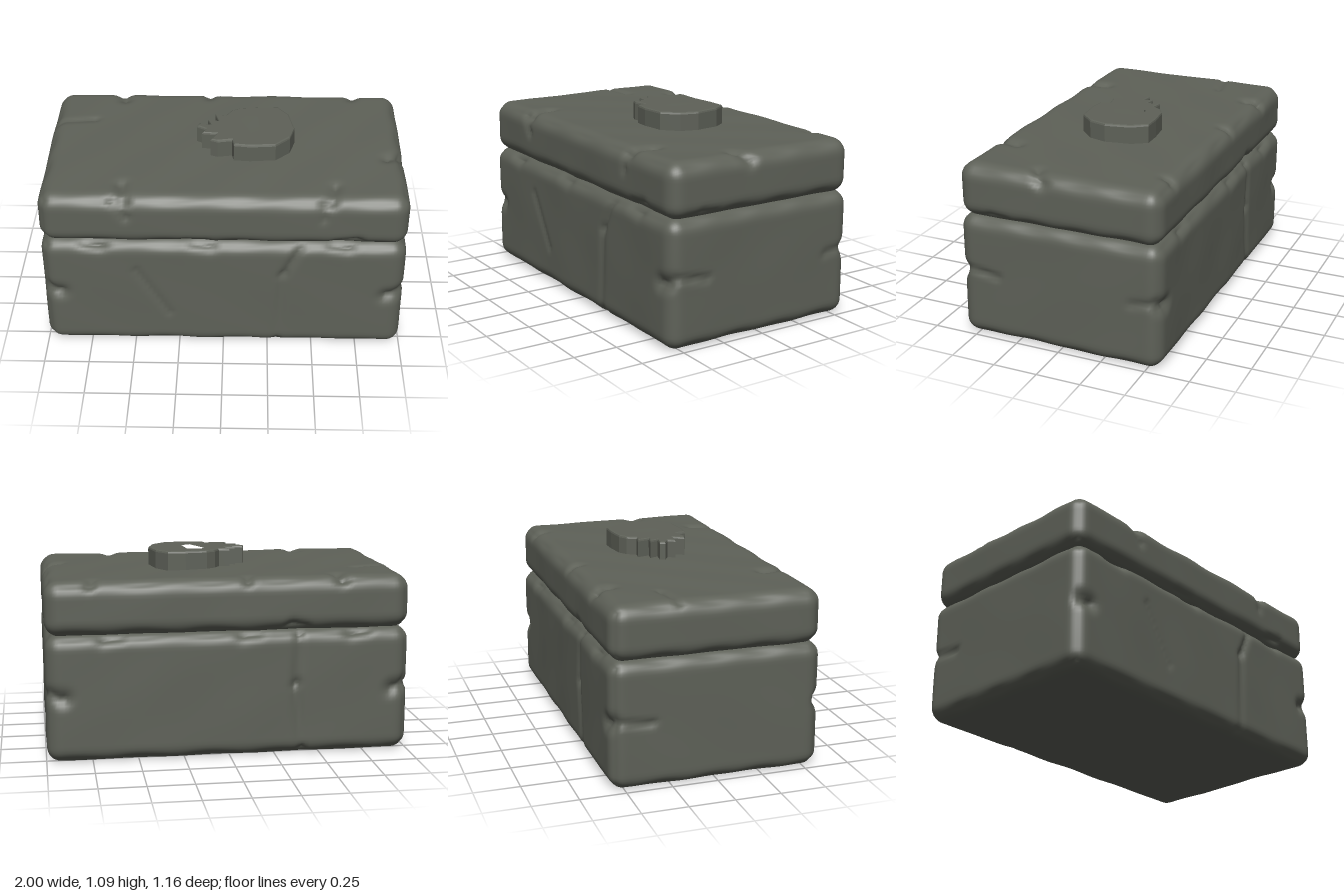
import * as THREE from 'three';
import { mergeVertices } from 'three/addons/utils/BufferGeometryUtils.js';

const stone = new THREE.MeshStandardMaterial({ color: 0x5e6158 });
stone.name = 'weathered grey stone';

// Rounded stone block worn by shallow waves and by cracks.
// Each crack: [start xyz, end xyz, width, depth]
function stoneBlock(name, half, yCentre, radius, cracks) {
  const step = 0.02;
  const seg = half.toArray().map((h) => Math.round((2 * h) / step));
  const geo = new THREE.BoxGeometry(2 * half.x, 2 * half.y, 2 * half.z, ...seg);
  geo.deleteAttribute('uv');
  geo.deleteAttribute('normal');
  const merged = mergeVertices(geo, 1e-4);
  const pos = merged.attributes.position;
  const core = half.clone().subScalar(radius);
  const low = core.clone().negate();
  const lines = cracks.map(([a, b, width, depth]) => ({
    line: new THREE.Line3(new THREE.Vector3(...a), new THREE.Vector3(...b)), width, depth,
  }));
  const p = new THREE.Vector3(), inner = new THREE.Vector3(), n = new THREE.Vector3(), near = new THREE.Vector3();
  for (let i = 0; i < pos.count; i++) {
    p.fromBufferAttribute(pos, i);
    inner.copy(p).clamp(low, core);
    n.copy(p).sub(inner).normalize();
    p.copy(inner).addScaledVector(n, radius);
    p.y += yCentre;
    // uneven, hand-hewn surface
    const wave = Math.sin(p.x * 7.3 + p.y * 5 + 1) * Math.sin(p.z * 6.1 + p.y * 9) + Math.sin(p.x * 13 + p.z * 11);
    const edge = 1 - Math.max(Math.abs(n.x), Math.abs(n.y), Math.abs(n.z));
    let sink = 0.0015 * (2 + wave) + edge * 0.012 * (1 + Math.sin(p.x * 17 + p.z * 23));
    for (const { line, width, depth } of lines) {
      line.closestPointToPoint(p, true, near);
      const t = 1 - near.distanceTo(p) / width;
      if (t > 0) sink += depth * t * t;
    }
    p.addScaledVector(n, -sink);
    pos.setXYZ(i, p.x, p.y, p.z);
  }
  merged.computeVertexNormals();
  const mesh = new THREE.Mesh(merged, stone);
  mesh.name = name;
  return mesh;
}

// Raised carved ring with a ragged side
function carvedRing() {
  const outline = [
    [0.03, -0.18], [0.08, -0.21], [0.2, -0.222], [0.3, -0.222], [0.36, -0.14], [0.388, 0], [0.36, 0.1], [0.28, 0.18],
    [0.14, 0.192], [0.05, 0.18], [0.04, 0.13], [-0.04, 0.145], [-0.08, 0.13], [-0.05, 0.07], [-0.13, 0.06],
    [-0.11, 0.02], [-0.16, -0.01], [-0.15, -0.04], [-0.08, -0.03], [-0.1, -0.08], [-0.04, -0.07],
    [-0.06, -0.14], [0, -0.13],
  ];
  const hole = [[0.07, -0.1], [0.09, -0.13], [0.19, -0.12], [0.205, 0.03], [0.14, 0.07], [0.11, 0.0]];
  const toPoints = (list) => list.map(([x, z]) => new THREE.Vector2(x, -z));
  const shape = new THREE.Shape(toPoints(outline));
  shape.holes.push(new THREE.Path(toPoints(hole)));
  const geo = new THREE.ExtrudeGeometry(shape, {
    depth: 0.12, bevelEnabled: true, bevelSize: 0.01, bevelOffset: -0.01, bevelThickness: 0.012, bevelSegments: 2,
  });
  geo.rotateX(-Math.PI / 2);
  geo.translate(0, 0.961, 0);
  const mesh = new THREE.Mesh(geo, stone);
  mesh.name = 'carvedRing';
  return mesh;
}

export function createModel() {
  const group = new THREE.Group();
  group.name = 'stoneChest';

  const bodyCracks = [
    // front face
    [[0.42, 0.68, 0.58], [0.33, 0.5, 0.58], 0.05, 0.022],
    [[0.33, 0.5, 0.58], [0.3, 0, 0.56], 0.05, 0.016],
    [[-0.48, 0.52, 0.58], [-0.3, 0.22, 0.58], 0.04, 0.012],
    // back face
    [[-0.38, 0.7, -0.56], [-0.36, 0.4, -0.58], 0.05, 0.022],
    [[-0.36, 0.4, -0.58], [-0.4, 0, -0.56], 0.05, 0.022],
    // ends
    [[1, 0.4, 0.55], [1, 0.37, 0.35], 0.04, 0.02],
    [[1, 0.37, -0.42], [1, 0.39, -0.55], 0.05, 0.015],
    [[-1, 0.38, -0.55], [-1, 0.36, -0.35], 0.04, 0.02],
  ];
  // chips on the upright corners
  for (const x of [-1, 1]) for (const z of [-0.58, 0.58]) {
    bodyCracks.push([[x, 0.38, z], [x * 0.9, 0.36, z], 0.08, 0.04]);
  }
  // chips along the upper rim
  for (const x of [-0.75, -0.15, 0.6]) for (const z of [-0.56, 0.56]) {
    bodyCracks.push([[x, 0.7, z], [x + 0.08, 0.68, z], 0.08, 0.025]);
  }
  group.add(stoneBlock('body', new THREE.Vector3(1, 0.352, 0.582), 0.352, 0.08, bodyCracks));

  const lidCracks = [
    // top face
    [[-1, 0.98, -0.2], [-0.75, 0.99, -0.24], 0.04, 0.018],
    [[1, 0.95, 0.08], [0.9, 0.99, 0.14], 0.07, 0.03],
    // front face
    [[-0.6, 0.97, 0.55], [-0.52, 0.87, 0.58], 0.05, 0.02],
    [[0.53, 0.97, 0.55], [0.54, 0.87, 0.58], 0.05, 0.015],
    // front and back upper edges
    [[-0.55, 0.99, 0.42], [-0.53, 0.96, 0.56], 0.07, 0.035],
    [[0.6, 0.99, 0.42], [0.57, 0.96, 0.56], 0.07, 0.03],
    [[-0.62, 0.97, -0.55], [-0.6, 0.99, -0.47], 0.07, 0.035],
    [[-0.1, 0.97, -0.55], [-0.1, 0.99, -0.5], 0.06, 0.025],
    [[0.75, 0.97, -0.55], [0.74, 0.99, -0.5], 0.06, 0.025],
    // lower rim
    [[0.62, 0.7, 0.56], [0.72, 0.72, 0.57], 0.07, 0.025],
    [[-0.2, 0.7, 0.56], [-0.1, 0.7, 0.56], 0.06, 0.02],
    [[-0.4, 0.7, -0.56], [-0.34, 0.72, -0.57], 0.07, 0.03],
    [[1, 0.7, 0.3], [1, 0.71, 0.38], 0.06, 0.02],
  ];
  group.add(stoneBlock('lid', new THREE.Vector3(1, 0.152, 0.578), 0.84, 0.085, lidCracks));
  group.add(carvedRing());
  return group;
}
